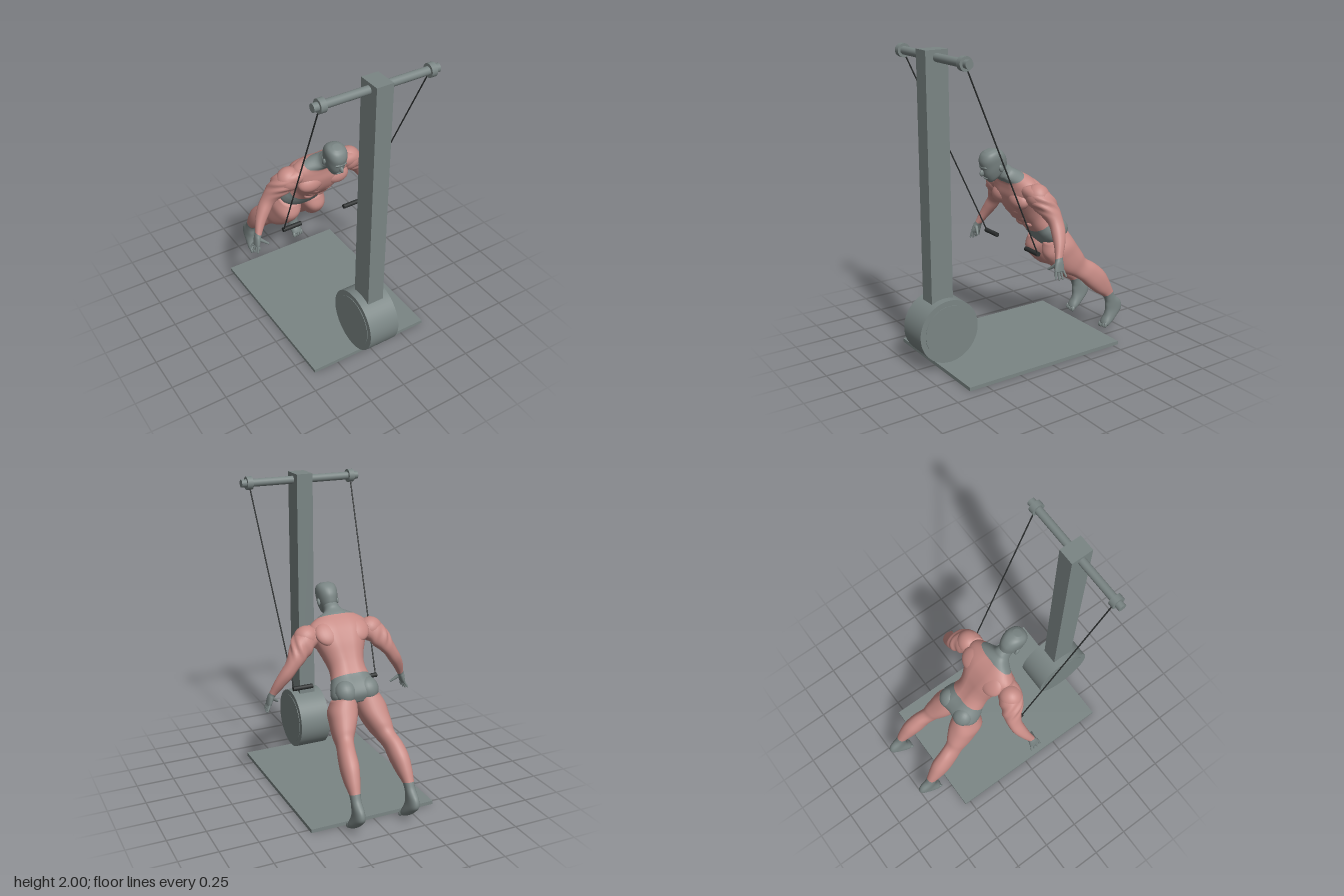
import * as THREE from 'three';

const mat = (name, color) => {
  const m = new THREE.MeshStandardMaterial({ color });
  m.name = name;
  return m;
};
const V = (x, y, z) => new THREE.Vector3(x, y, z);

export function createModel() {
  const model = new THREE.Group();
  model.name = 'pulleyTrainerWithAthlete';
  const grey = mat('slate grey', 0x7a8584);
  const skin = mat('skin pink', 0xc68b85);
  const dark = mat('cable black', 0x2b2e2e);

  function add(name, geo, material, x = 0, y = 0, z = 0, parent = model) {
    const m = new THREE.Mesh(geo, material);
    m.name = name;
    m.position.set(x, y, z);
    parent.add(m);
    return m;
  }
  // Cylinder between two points, r0 at a and r1 at b
  function rod(name, a, b, r0, r1, material, parent = model, sides = 16) {
    const d = b.clone().sub(a);
    const m = add(name, new THREE.CylinderGeometry(r1, r0, d.length(), sides), material, 0, 0, 0, parent);
    m.position.copy(a).addScaledVector(d, 0.5);
    m.quaternion.setFromUnitVectors(V(0, 1, 0), d.normalize());
    return m;
  }
  function ball(name, c, r, material, parent, rotX = 0, rotZ = 0) {
    const m = add(name, new THREE.SphereGeometry(1, 24, 16), material, ...c, parent);
    m.scale.set(...r);
    m.rotation.set(rotX, 0, rotZ);
    return m;
  }
  // Smooth capped skin over oval rings {c, u, v}; spans[i] picks the material between rings i and i+1
  function loft(name, rings, mats, spans, parent, shape = () => 1) {
    const N = 32, SUB = 5, R = (rings.length - 1) * SUB + 1;
    const curve = k => new THREE.CatmullRomCurve3(rings.map(r => r[k]), false, 'catmullrom', 0.5);
    const [cc, cu, cv] = ['c', 'u', 'v'].map(curve);
    const pos = [], idx = [], geo = new THREE.BufferGeometry();
    for (let j = 0; j < R; j++) {
      const s = j / (R - 1), c = cc.getPoint(s), u = cu.getPoint(s), v = cv.getPoint(s);
      for (let i = 0; i < N; i++) {
        const t = i / N * Math.PI * 2, k = shape(t, s * (rings.length - 1));
        const e = x => Math.sign(x) * Math.abs(x) ** 0.88 * k;
        pos.push(...c.clone().addScaledVector(u, e(Math.cos(t))).addScaledVector(v, e(Math.sin(t))).toArray());
      }
    }
    const first = rings[0], last = rings[rings.length - 1];
    pos.push(...first.c.toArray(), ...last.c.toArray());
    const flip = first.u.clone().cross(first.v).dot(rings[1].c.clone().sub(first.c)) < 0;
    const tri = (a, b, c) => flip ? idx.push(a, c, b) : idx.push(a, b, c);
    for (let p = 0; p < rings.length - 1; p++) {
      const start = idx.length;
      for (let j = p * SUB; j < (p + 1) * SUB; j++) for (let i = 0; i < N; i++) {
        const a = j * N + i, b = j * N + (i + 1) % N;
        tri(a, b, a + N);
        tri(b, b + N, a + N);
      }
      for (let i = 0; i < N; i++) {
        const n = (i + 1) % N, top = (R - 1) * N;
        if (p === 0) tri(R * N, n, i);
        if (p === rings.length - 2) tri(R * N + 1, top + i, top + n);
      }
      geo.addGroup(start, idx.length - start, spans[p]);
    }
    geo.setAttribute('position', new THREE.Float32BufferAttribute(pos, 3));
    geo.setIndex(idx);
    geo.computeVertexNormals();
    return add(name, geo, mats, 0, 0, 0, parent);
  }
  // Ring from its front and back outline points (z, y), centre x and half width
  const ring = ([fz, fy, bz, by, w, x = 0]) => ({
    c: V(x, (fy + by) / 2, (fz + bz) / 2), u: V(w, 0, 0), v: V(0, (fy - by) / 2, (fz - bz) / 2),
  });

  // Machine: base, column, flywheel, top bar
  add('basePlate', new THREE.BoxGeometry(0.85, 0.024, 1.16), grey, 0, 0.012, 0.04);
  add('column', new THREE.BoxGeometry(0.112, 1.6, 0.15), grey, 0, 1.2, 0.585);
  rod('flywheel', V(-0.106, 0.257, 0.567), V(0.106, 0.257, 0.567), 0.206, 0.206, grey, model, 56);
  rod('flywheelCover', V(-0.109, 0.257, 0.567), V(0.109, 0.257, 0.567), 0.17, 0.17, grey, model, 48);
  rod('topBar', V(-0.414, 1.955, 0.585), V(0.414, 1.955, 0.585), 0.026, 0.026, grey, model, 24);

  for (const s of [1, -1]) {
    // Pulleys, cables and handles
    rod('pulley', V(s * 0.342, 1.955, 0.585), V(s * 0.38, 1.955, 0.585), 0.043, 0.043, grey, model, 24);
    rod('cable', V(s * 0.36, 1.93, 0.572), V(s * 0.293, 0.715, 0.03), 0.0045, 0.0045, dark, model, 8);
    rod('handle', V(s * 0.165, 0.715, 0.03), V(s * 0.3, 0.715, 0.03), 0.015, 0.015, dark);
  }

  // Athlete leaning forward
  const body = new THREE.Group();
  body.name = 'athlete';
  model.add(body);
  const near = (t, a, w) => Math.exp(-(((t - a) / w) ** 2));

  loft('torso', [
    [-0.215, 0.655, -0.335, 0.715, 0.11],
    [-0.175, 0.69, -0.35, 0.775, 0.155],
    [-0.14, 0.73, -0.315, 0.83, 0.148],
    [-0.11, 0.768, -0.255, 0.88, 0.125],
    [-0.06, 0.82, -0.215, 0.935, 0.115],
    [0.0, 0.875, -0.185, 0.99, 0.13],
    [0.06, 0.955, -0.15, 1.06, 0.165],
    [0.085, 1.03, -0.105, 1.125, 0.2],
    [0.085, 1.09, -0.06, 1.165, 0.19],
    [0.088, 1.125, -0.01, 1.195, 0.135],
    [0.11, 1.147, 0.033, 1.217, 0.068],
    [0.135, 1.158, 0.053, 1.235, 0.05],
    [0.16, 1.18, 0.08, 1.25, 0.045],
  ].map(ring), [skin, grey], [1, 1, 1, 0, 0, 0, 0, 0, 0, 1, 1, 1], body,
  (t, p) => p > 9 ? 1 : 1 - 0.09 * near(t, Math.PI * 1.5, 0.16) - (p > 4 ? 0.05 * near(t, Math.PI / 2, 0.14) : 0));

  loft('head', [
    [0.185, 1.14, 0.095, 1.215, 0.028],
    [0.205, 1.147, 0.074, 1.24, 0.045],
    [0.235, 1.185, 0.077, 1.275, 0.057],
    [0.25, 1.23, 0.087, 1.306, 0.063],
    [0.261, 1.275, 0.11, 1.334, 0.065],
    [0.25, 1.315, 0.14, 1.35, 0.055],
    [0.225, 1.34, 0.175, 1.356, 0.028],
  ].map(ring), [grey], [0, 0, 0, 0, 0, 0], body);
  ball('nose', [0, 1.208, 0.248], [0.011, 0.022, 0.018], grey, body, -0.4);
  ball('mouth', [0, 1.172, 0.222], [0.02, 0.008, 0.012], grey, body);
  ball('brow', [0, 1.243, 0.243], [0.042, 0.01, 0.014], grey, body);

  for (const s of [1, -1]) {
    const side = s > 0 ? 'left' : 'right';
    ball(side + 'Ear', [s * 0.065, 1.235, 0.15], [0.01, 0.024, 0.015], grey, body, 0.4);
    ball(side + 'ChestMuscle', [s * 0.09, 1.025, 0.035], [0.095, 0.065, 0.055], skin, body, -0.35, -s * 0.15);
    ball(side + 'ShoulderBlade', [s * 0.1, 1.095, -0.07], [0.085, 0.085, 0.04], skin, body, 0.75);
    ball(side + 'Shoulder', [s * 0.225, 1.065, -0.015], [0.082, 0.08, 0.075], skin, body, 0, -s * 0.5);
    ball(side + 'Buttock', [s * 0.075, 0.775, -0.287], [0.07, 0.075, 0.065], grey, body, 0.6);
    for (let i = 0; i < 3; i++) // stomach muscles
      ball(side + 'Abdominal', [s * 0.04, 0.935 - i * 0.052, 0.02 - i * 0.045], [0.038, 0.03, 0.022], skin, body, 0.6);

    // Leg and foot: thigh, knee, calf, ankle, heel, toes
    loft(side + 'Leg', [
      [-0.185, 0.69, -0.345, 0.755, 0.075, 0.082],
      [-0.17, 0.61, -0.38, 0.7, 0.09, 0.097],
      [-0.215, 0.54, -0.41, 0.65, 0.084, 0.108],
      [-0.29, 0.475, -0.44, 0.597, 0.07, 0.126],
      [-0.365, 0.437, -0.468, 0.545, 0.054, 0.142],
      [-0.42, 0.402, -0.535, 0.5, 0.053, 0.16],
      [-0.478, 0.345, -0.605, 0.435, 0.055, 0.17],
      [-0.54, 0.292, -0.65, 0.355, 0.046, 0.178],
      [-0.605, 0.25, -0.682, 0.28, 0.033, 0.183],
      [-0.627, 0.21, -0.705, 0.235, 0.03, 0.185],
      [-0.63, 0.175, -0.752, 0.19, 0.031, 0.185],
      [-0.632, 0.14, -0.762, 0.138, 0.033, 0.184],
      [-0.625, 0.105, -0.72, 0.09, 0.037, 0.183],
      [-0.608, 0.072, -0.668, 0.046, 0.04, 0.183],
      [-0.6, 0.05, -0.635, 0.028, 0.037, 0.183],
    ].map(r => ring([...r.slice(0, 5), s * r[5]])), [skin, grey],
    [0, 0, 0, 0, 0, 0, 0, 0, 1, 1, 1, 1, 1, 1], body,
    (t, p) => p < 4 ? 1 + 0.03 * Math.cos(3 * (t - Math.PI / 2)) * Math.sin(p / 4 * Math.PI) : 1);
    for (let i = 0; i < 5; i++)
      ball(side + 'Toe', [s * (0.152 + i * 0.0155), 0.036 + i * 0.002, -0.61], [i ? 0.0085 : 0.012, 0.02, 0.013], grey, body, -0.35);

    // Arm: rows of centre x, y, z, half width, half depth, with rough folds at the upper arm
    loft(side + 'Arm', [
      [0.14, 1.11, 0, 0.055, 0.055],
      [0.2, 1.085, -0.01, 0.075, 0.072],
      [0.255, 1.035, -0.03, 0.073, 0.075],
      [0.3, 0.975, -0.055, 0.058, 0.063],
      [0.345, 0.915, -0.07, 0.043, 0.047],
      [0.385, 0.855, -0.062, 0.04, 0.044],
      [0.425, 0.79, -0.04, 0.032, 0.034],
      [0.457, 0.725, -0.012, 0.021, 0.025],
      [0.468, 0.7, -0.005, 0.019, 0.03],
      [0.478, 0.665, 0, 0.015, 0.035],
      [0.484, 0.648, 0.002, 0.011, 0.032],
    ].map(([x, y, z, a, b]) => ({ c: V(s * x, y, z), u: V(s * 0.88 * a, 0.48 * a, 0), v: V(0, 0, b) })),
    [skin, grey], [0, 0, 0, 0, 0, 0, 0, 1, 1, 1], body,
    (t, p) => 1 + 0.08 * near(p, 2.4, 0.7) * Math.sin(5 * t + 6 * p));

    // Fingers and thumb
    for (let i = 0; i < 4; i++) {
      const z = -0.026 + i * 0.018, len = [0.036, 0.046, 0.048, 0.042][i];
      const a = V(s * 0.482, 0.655, z), b = V(s * (0.492 + (3 - i) * 0.003), 0.655 - len, z * 1.35);
      rod(side + 'Finger', a, b, 0.009, 0.006, grey, body, 10);
      ball(side + 'Fingertip', b.toArray(), [0.006, 0.006, 0.006], grey, body);
    }
    const tip = V(s * 0.41, 0.652, 0.03);
    rod(side + 'Thumb', V(s * 0.465, 0.695, 0.008), tip, 0.014, 0.007, grey, body, 10);
    ball(side + 'ThumbTip', tip.toArray(), [0.007, 0.007, 0.007], grey, body);
  }
  return model;
}
